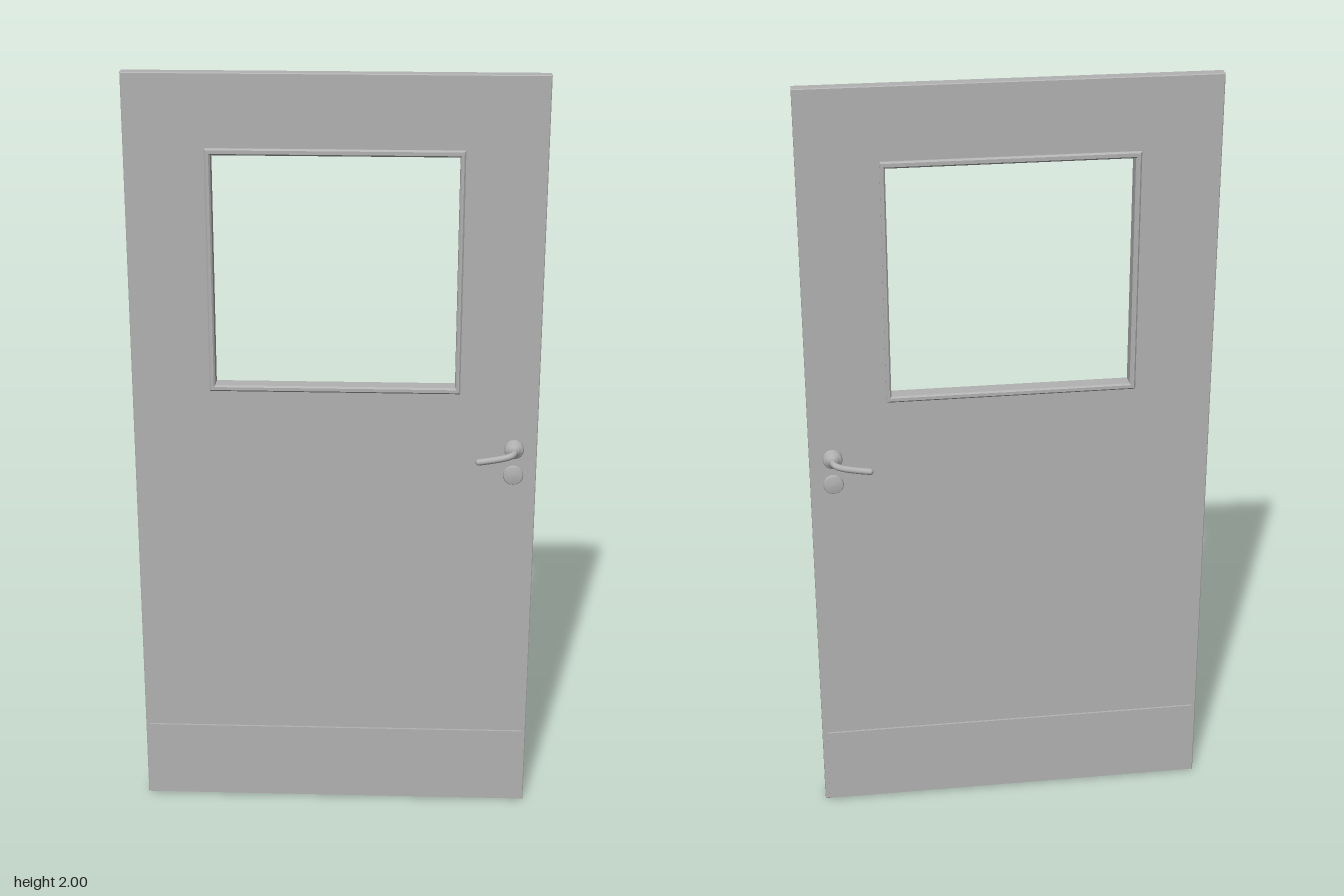
import * as THREE from 'three';

const grey = new THREE.MeshStandardMaterial({ color: 0xb2b2b2 });
grey.name = 'door grey';

function rect(path, x0, x1, y0, y1) {
  path.moveTo(x0, y0);
  path.lineTo(x1, y0);
  path.lineTo(x1, y1);
  path.lineTo(x0, y1);
  path.closePath();
  return path;
}

// rectangular panel with a rectangular opening, chamfered and centred on z = 0
function panel(name, outer, inner, thickness, bevel) {
  const [x0, x1, y0, y1] = outer, b = bevel;
  const shape = rect(new THREE.Shape(), x0 + b, x1 - b, y0 + b, y1 - b);
  const [a0, a1, c0, c1] = inner;
  shape.holes.push(rect(new THREE.Path(), a0 - b, a1 + b, c0 - b, c1 + b));
  const depth = thickness - 2 * b;
  const geo = new THREE.ExtrudeGeometry(shape, {
    depth, bevelEnabled: true, bevelSegments: 1, bevelSize: b, bevelThickness: b,
  });
  geo.translate(0, 0, -depth / 2);
  return part(name, geo);
}

function part(name, geo) {
  const mesh = new THREE.Mesh(geo, grey);
  mesh.name = name;
  return mesh;
}

// round fitting standing out from the leaf, given as radius and z pairs
function turned(name, x, y, profile) {
  const geo = new THREE.LatheGeometry(profile.map(([r, z]) => new THREE.Vector2(r, z)), 24);
  geo.rotateX(Math.PI / 2);
  geo.translate(x, y, 0);
  return part(name, geo);
}

function hardware(side) {
  const group = new THREE.Group();
  group.name = side + 'Hardware';

  // kick plate
  const plate = part('kickPlate', new THREE.BoxGeometry(1.012, 0.212, 0.006));
  plate.position.set(0, 0.111, 0.019);
  group.add(plate);

  // roses for the lever and the lock
  group.add(turned('leverRose', 0.458, 1.042,
    [[0.025, 0.015], [0.025, 0.025], [0.022, 0.029], [0.013, 0.032], [0.011, 0.038], [0, 0.038]]));
  group.add(turned('lockRose', 0.458, 0.97,
    [[0.026, 0.015], [0.026, 0.021], [0.023, 0.025], [0, 0.026]]));

  // curved lever with rounded tip
  const points = [
    [0.458, 1.042, 0.03], [0.457, 1.042, 0.05], [0.449, 1.041, 0.063],
    [0.43, 1.037, 0.069], [0.4, 1.032, 0.072], [0.367, 1.028, 0.075],
  ].map((p) => new THREE.Vector3(...p));
  const curve = new THREE.CatmullRomCurve3(points);
  group.add(part('lever', new THREE.TubeGeometry(curve, 28, 0.0085, 12)));
  const tip = part('leverTip', new THREE.SphereGeometry(0.0085, 12, 8));
  tip.position.copy(points[points.length - 1]);
  group.add(tip);
  return group;
}

export function createModel() {
  const door = new THREE.Group();
  door.name = 'door';

  // leaf and window surround
  door.add(panel('leaf', [-0.517, 0.517, 0, 2], [-0.312, 0.312, 1.198, 1.81], 0.032, 0.002));
  door.add(panel('windowFrame', [-0.319, 0.317, 1.19, 1.817], [-0.304, 0.304, 1.206, 1.8], 0.045, 0.004));

  // the same fittings on both faces
  const front = hardware('front');
  const back = hardware('back');
  back.scale.z = -1;
  door.add(front, back);
  return door;
}
